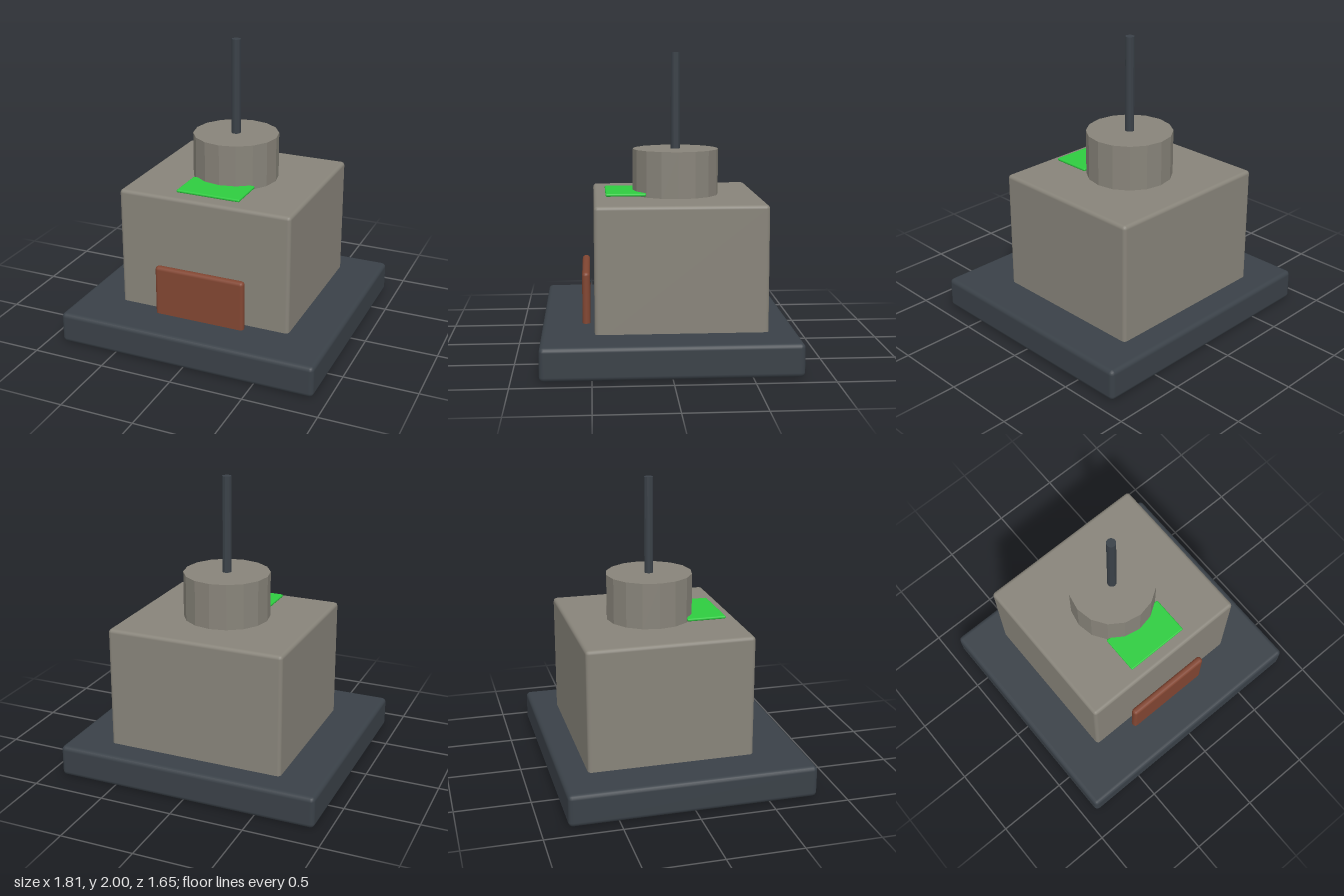
import * as THREE from 'three';
import { RoundedBoxGeometry } from 'three/addons/geometries/RoundedBoxGeometry.js';

function material(name, color, flatShading = false) {
  const m = new THREE.MeshStandardMaterial({ color, flatShading });
  m.name = name;
  return m;
}

export function createModel() {
  const group = new THREE.Group();
  const slate = material('slate', 0x3a4148);
  const stone = material('stone', 0x88847a);
  const rust = material('rust', 0x824632);
  const green = material('green', 0x2ecc40);

  const add = (name, geometry, mat, x, y, z) => {
    const mesh = new THREE.Mesh(geometry, mat);
    mesh.name = name;
    mesh.position.set(x, y, z);
    group.add(mesh);
  };
  // Rounded box given by its width, bottom, top, back and front
  const box = (name, mat, width, y0, y1, z0, z1, radius) =>
    add(name, new RoundedBoxGeometry(width, y1 - y0, z1 - z0, 2, radius), mat,
      0, (y0 + y1) / 2, (z0 + z1) / 2);
  // Upright faceted cylinder on the turret axis
  const post = (name, mat, radius, y0, y1, sides) => {
    const geometry = new THREE.CylinderGeometry(radius, radius, y1 - y0, sides).toNonIndexed();
    geometry.computeVertexNormals();
    add(name, geometry, mat, 0, (y0 + y1) / 2, -0.08);
  };

  box('base', slate, 1.81, 0, 0.215, -0.825, 0.825, 0.03);
  box('body', stone, 1.22, 0.15, 1.04, -0.64, 0.48, 0.025);
  box('door', rust, 0.64, 0.16, 0.56, 0.508, 0.56, 0.024);
  box('roofPanel', green, 0.45, 1.05, 1.07, 0.13, 0.4, 0.009);
  post('turret', stone, 0.293, 1.03, 1.35, 16);
  post('mast', slate, 0.031, 1.34, 2, 12);

  return group;
}
